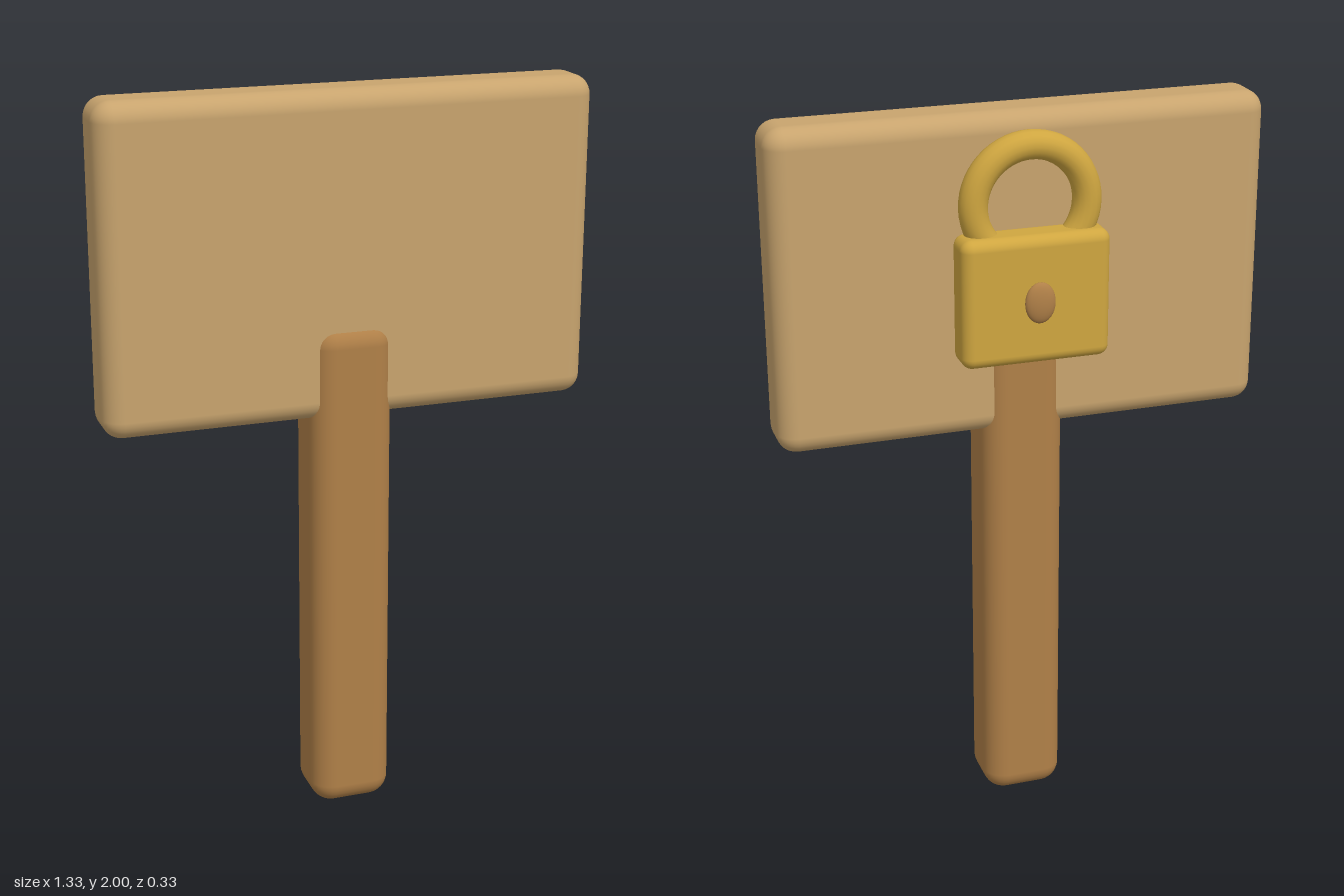
import * as THREE from 'three';
import { RoundedBoxGeometry } from 'three/addons/geometries/RoundedBoxGeometry.js';

function material(name, color) {
  const m = new THREE.MeshStandardMaterial({ color });
  m.name = name;
  return m;
}

export function createModel() {
  const group = new THREE.Group();
  group.name = 'signWithPadlock';
  const paleWood = material('paleWood', 0xc8a46e);
  const brownWood = material('brownWood', 0xb08048);
  const brass = material('brass', 0xcfa640);

  const add = (name, geometry, mat, x, y, z) => {
    const mesh = new THREE.Mesh(geometry, mat);
    mesh.name = name;
    mesh.position.set(x, y, z);
    group.add(mesh);
    return mesh;
  };

  // Sign board and the post that passes through its lower edge
  add('board', new RoundedBoxGeometry(1.33, 0.865, 0.172, 4, 0.052), paleWood, 0, 1.5675, 0.062);
  add('post', new RoundedBoxGeometry(0.224, 1.39, 0.2, 4, 0.06), brownWood, 0, 0.695, 0.065);

  // Padlock on the back of the board
  add('lockBody', new RoundedBoxGeometry(0.4, 0.345, 0.108, 4, 0.03), brass, 0, 1.5325, -0.078);

  // Shackle: a ring whose ends sink into the lock body
  const dip = 0.7;
  const shackle = new THREE.TorusGeometry(0.152, 0.038, 16, 40, Math.PI + 2 * dip);
  shackle.rotateZ(-dip);
  add('shackle', shackle, brass, 0, 1.775, -0.064);

  // Keyhole: a flattened button on the lock's outer face
  const keyhole = new THREE.SphereGeometry(1, 24, 16);
  keyhole.scale(0.041, 0.055, 0.017);
  add('keyhole', keyhole, brownWood, 0, 1.535, -0.148);

  return group;
}
